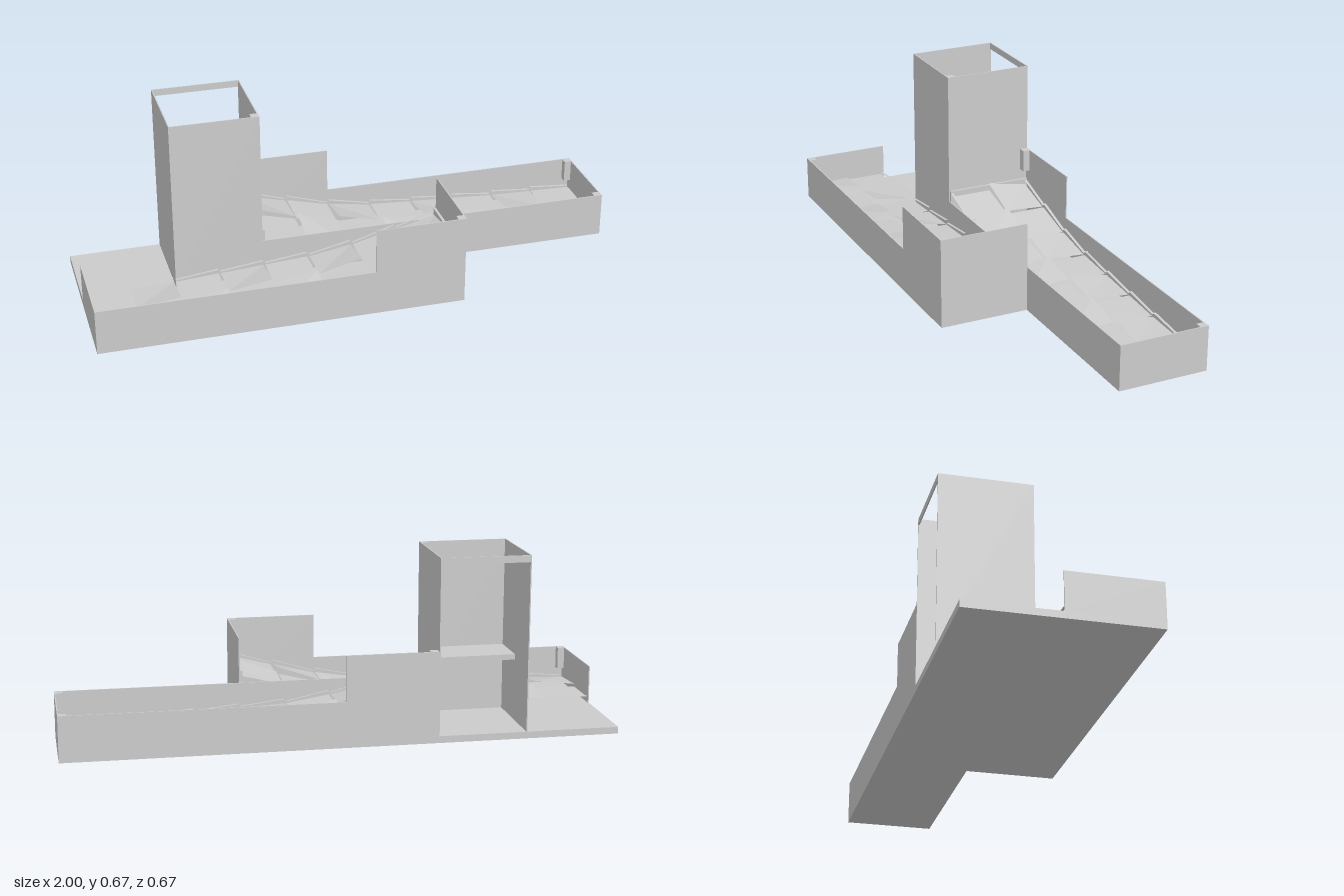
import * as THREE from 'three';

const T = 1 / 3;      // tile size
const W = 0.004;      // wall thickness
const BASE = 0.025;   // floor slab height

export function createModel() {
  const model = new THREE.Group();
  const mat = new THREE.MeshStandardMaterial({ color: 0xcccccc, flatShading: true });
  const sheet = new THREE.MeshStandardMaterial({ color: 0xcccccc, flatShading: true, side: THREE.DoubleSide });

  // Box given by its min and max corners
  const box = (name, x0, x1, y0, y1, z0, z1) => {
    const mesh = new THREE.Mesh(new THREE.BoxGeometry(x1 - x0, y1 - y0, z1 - z0), mat);
    mesh.position.set((x0 + x1) / 2, (y0 + y1) / 2, (z0 + z1) / 2);
    mesh.name = name;
    model.add(mesh);
  };

  // Floor slabs of the two rows
  box('backRowBase', -1, 1, 0, BASE, -T, 0);
  box('frontRowBase', -1, T, 0, BASE, 0, T);

  // Tower: three full walls, open back with a lintel, and an inner shelf
  const H = 2 * T, X0 = -0.66;
  box('towerFrontWall', X0, -T, BASE, H, -W, 0);
  box('towerLeftWall', -T - W, -T, BASE, H, -T, -W);
  box('towerRightWall', X0, X0 + W, BASE, H, -T, -W);
  box('towerLintel', X0 + W, -T - W, H - 0.025, H, -T, -T + W);
  box('towerShelf', X0 + W, -T - W, 0.25, 0.27, -T / 2, -W);
  box('towerCornerPost', -T - 0.03, -T - W, BASE, H, -0.03, -W);

  // Back row walls
  box('backTallWall', -T, 0, BASE, T, -T, -T + W);
  box('backLowWall', 0, 1, BASE, T / 2, -T, -T + W);
  box('backEndWall', 1 - W, 1, BASE, T / 2, -T + W, -W);
  box('dividingWall', -T, 1, BASE, T / 2, -W, 0);

  // Front row walls
  box('frontLowWall', -1, 0, BASE, T / 2, T - W, T);
  box('frontTallWall', 0, T, BASE, T, T - W, T);
  box('frontTallEndWall', T - W, T, BASE, T, 0, T - W);
  box('frontLowEndWall', -1, -1 + W, BASE, T / 2, 0, T - W);

  // Short posts hanging in the wall corners: x, z, top, direction inwards
  const P = 0.03;
  for (const [x, z, top, sx, sz] of [
    [-T, -T, T, 1, 1], [T, T, T, -1, -1], [1, -T, T / 2, -1, 1],
    [1, 0, T / 2, -1, -1], [-1, T, T / 2, 1, -1],
  ]) {
    const xs = [x, x + sx * P].sort((a, b) => a - b);
    const zs = [z, z + sz * P].sort((a, b) => a - b);
    box('cornerPost', xs[0], xs[1], top - T / 4, top, zs[0], zs[1]);
  }

  // Track panels along a descending run; every other one is raised at the middle
  const run = [0.19, 0.15, 0.11, 0.085, 0.075, 0.065, 0.055, 0.05, 0.045];
  const s = T / 2, edge = 0.014, tilt = 0.025;
  const addTrack = (name, startX, dir, z0) => {
    const track = new THREE.Group();
    track.name = name;
    // Four-cornered sheet between two stations, with heights above the run
    const panel = (partName, i, za, zb, upA, upB) => {
      const xa = startX + dir * (i * s + W), xb = startX + dir * ((i + 1) * s - W);
      const geo = new THREE.BufferGeometry();
      geo.setAttribute('position', new THREE.Float32BufferAttribute([
        xa, run[i] + upA, za, xa, run[i] + upB, zb,
        xb, run[i + 1] + upB * 0.4, zb, xb, run[i + 1] + upA * 0.4, za,
      ], 3));
      geo.setIndex(dir > 0 ? [0, 1, 2, 0, 2, 3] : [0, 2, 1, 0, 3, 2]);
      geo.computeVertexNormals();
      const mesh = new THREE.Mesh(geo, sheet);
      mesh.name = partName;
      track.add(mesh);
    };
    for (let i = 0; i < 8; i++) {
      const mid = z0 + s, up = i % 2 ? [0, tilt] : [tilt, 0];
      panel('trackPanel', i, z0 + edge, mid, 0, up[0]);
      panel('trackPanel', i, mid, z0 + T - edge, up[1], 0);
      panel('sideRail', i, z0 + W, z0 + edge, 0.015, 0.015);
      panel('sideRail', i, z0 + T - edge, z0 + T - W, 0.015, 0.015);
    }
    model.add(track);
  };
  addTrack('backTrack', -T, 1, -T);
  addTrack('frontTrack', T, -1, 0);

  // Sill at the top of each track
  box('backTrackSill', -T, -T + 0.01, BASE, 0.21, -T + W, -W);
  box('frontTrackSill', T - 0.014, T - W, BASE, 0.21, W, T - W);
  return model;
}
